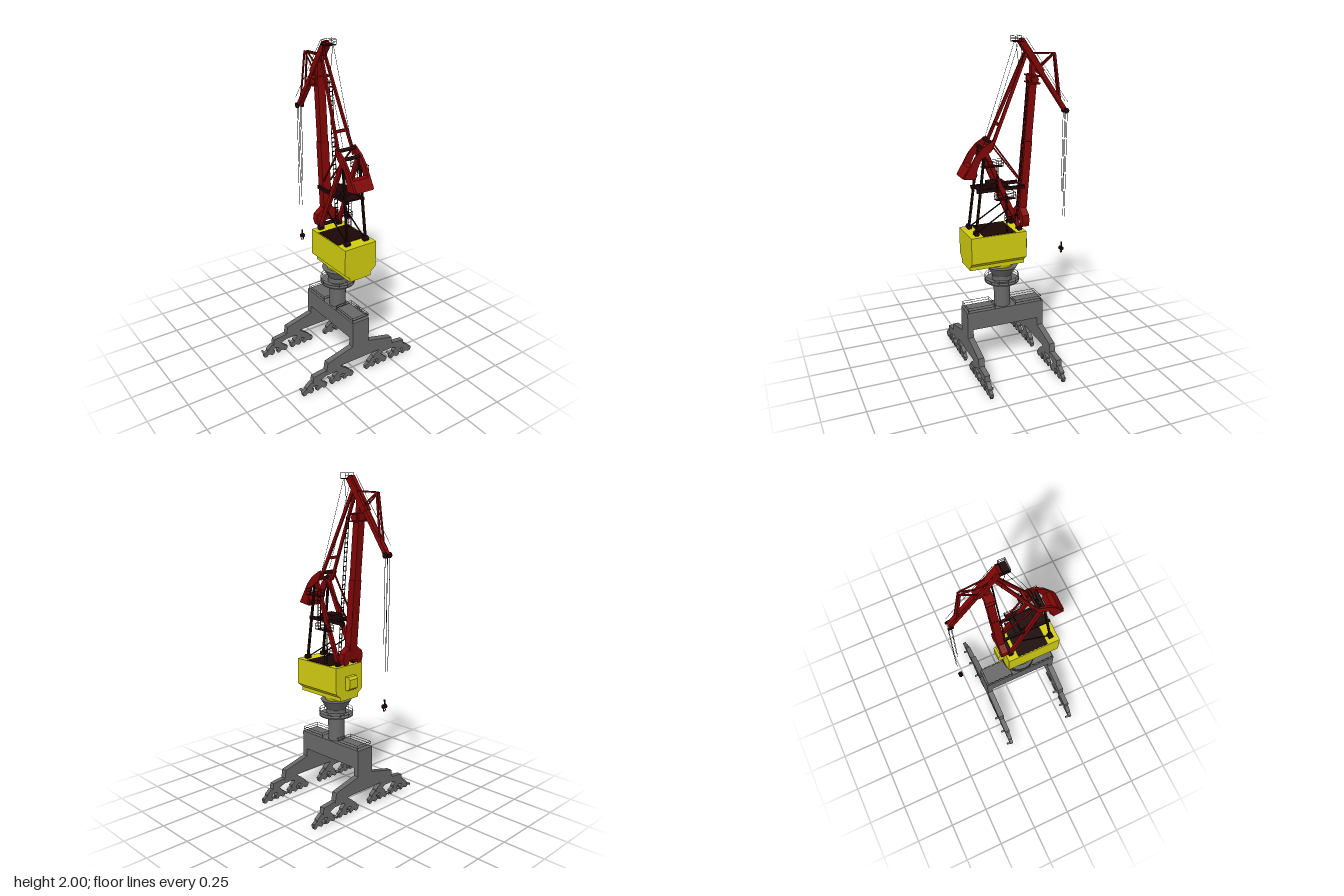
import * as THREE from 'three';

const mat = (color) => new THREE.MeshStandardMaterial({ color, side: THREE.DoubleSide, flatShading: true });
const grey = mat(0x686868), yellow = mat(0xd0cc10), red = mat(0x800606), dark = mat(0x1c0606);
const V = (x, y, z) => new THREE.Vector3(x, y, z);
const MID = 0.085; // z of the slewing axis

export function createModel() {
  const root = new THREE.Group();
  const add = (name, geo, m, x = 0, y = 0, z = 0) => {
    const mesh = new THREE.Mesh(geo, m);
    mesh.name = name;
    mesh.position.set(x, y, z);
    root.add(mesh);
    return mesh;
  };
  const box = (name, m, x0, x1, y0, y1, z0, z1) =>
    add(name, new THREE.BoxGeometry(x1 - x0, y1 - y0, z1 - z0), m, (x0 + x1) / 2, (y0 + y1) / 2, (z0 + z1) / 2);
  const cyl = (name, m, r0, r1, y0, y1, z, n = 24, x = 0) =>
    add(name, new THREE.CylinderGeometry(r1, r0, y1 - y0, n), m, x, (y0 + y1) / 2, z);
  // Axle-like cylinder along x or z
  const axle = (name, m, r, len, axis, x, y, z) => {
    const geo = new THREE.CylinderGeometry(r, r, len, 12);
    if (axis === 'x') geo.rotateZ(Math.PI / 2); else geo.rotateX(Math.PI / 2);
    return add(name, geo, m, x, y, z);
  };
  // Straight beam between two points, w wide across x and t thick
  const bar = (name, m, a, b, w, t = w) => {
    const mesh = new THREE.Mesh(new THREE.BoxGeometry(t, w, a.distanceTo(b)), m);
    mesh.name = name;
    mesh.position.copy(a).add(b).multiplyScalar(0.5);
    mesh.up.set(1, 0, 0);
    if (Math.abs(a.x - b.x) > 0.9 * a.distanceTo(b)) mesh.up.set(0, 1, 0);
    mesh.lookAt(b);
    root.add(mesh);
  };
  // Flat outline in x,y extruded along z
  const plate = (name, m, pts, z0, z1) => {
    const shape = new THREE.Shape(pts.map(([x, y]) => new THREE.Vector2(x, y)));
    return add(name, new THREE.ExtrudeGeometry(shape, { depth: z1 - z0, bevelEnabled: false }), m, 0, 0, z0);
  };
  // Mirrored outline: right half listed from top to bottom
  const mirrored = (half) => [...half, ...half.map(([x, y]) => [-x, y]).reverse()];
  // Rectangular guard rail
  const guard = (name, m, x0, x1, y, z0, z1, h = 0.035) => {
    const c = [[x0, z0], [x1, z0], [x1, z1], [x0, z1]];
    c.forEach(([x, z], i) => {
      const [nx, nz] = c[(i + 1) % 4];
      bar(name, m, V(x, y, z), V(x, y + h, z), 0.002);
      for (const k of [0.5, 1]) bar(name, m, V(x, y + h * k, z), V(nx, y + h * k, nz), 0.002);
    });
  };

  // Portal: two side frames on stacked balancers and bogies
  for (const z of [0.312, -0.147]) {
    plate('portalFrame', grey, mirrored([[0.06, 0.385], [0.06, 0.22], [0.24, 0.175], [0.25, 0.118], [0.17, 0.118], [0.12, 0.12]]),
      z - 0.018, z + 0.018);
    for (const s of [-1, 1]) {
      const P = (pts) => pts.map(([x, y]) => [s * x, y]);
      plate('mainBalancer', grey, P([[0.16, 0.125], [0.25, 0.125], [0.34, 0.115], [0.345, 0.075], [0.29, 0.075],
        [0.25, 0.09], [0.18, 0.09], [0.155, 0.07], [0.1, 0.07], [0.11, 0.09]]), z - 0.016, z + 0.016);
      for (const c of [0.13, 0.328]) {
        plate('smallBalancer', grey, P([[c - 0.03, 0.08], [c + 0.03, 0.08], [c + 0.06, 0.055], [c + 0.06, 0.038],
          [c + 0.03, 0.038], [c, 0.052], [c - 0.03, 0.038], [c - 0.06, 0.038], [c - 0.06, 0.055]]), z - 0.013, z + 0.013);
      }
      for (const c of [0.085, 0.175, 0.28, 0.375]) {
        plate('bogie', grey, P([[c - 0.015, 0.045], [c + 0.015, 0.045], [c + 0.04, 0.03], [c + 0.036, 0.014],
          [c - 0.036, 0.014], [c - 0.04, 0.03]]), z - 0.011, z + 0.011);
        for (const d of [-0.023, 0.023]) axle('wheel', grey, 0.017, 0.014, 'z', s * c + d, 0.017, z);
        if (c > 0.1) axle('driveMotor', grey, 0.007, 0.03, 'z', s * c - 0.03, 0.03, z - 0.018);
      }
      box('railBuffer', grey, s * 0.405 - 0.006, s * 0.405 + 0.006, 0.018, 0.034, z - 0.008, z + 0.008);
    }
  }
  box('portalBeam', grey, -0.06, 0.06, 0.27, 0.385, -0.163, 0.33);
  for (const [a, b] of [[-0.155, 0.02], [0.15, 0.322]]) guard('portalRail', grey, -0.057, 0.057, 0.385, a, b, 0.03);

  // Column with walkway ring and slewing cone
  cyl('column', grey, 0.05, 0.05, 0.385, 0.65, MID);
  cyl('walkway', grey, 0.105, 0.105, 0.543, 0.55, MID, 32);
  cyl('columnCollar', grey, 0.06, 0.06, 0.55, 0.585, MID);
  cyl('slewingCone', grey, 0.055, 0.096, 0.58, 0.645, MID);
  cyl('slewingNeck', yellow, 0.065, 0.075, 0.645, 0.667, MID);
  for (const y of [0.565, 0.582]) {
    const ring = add('walkwayRail', new THREE.TorusGeometry(0.104, 0.0015, 4, 32), grey, 0, y, MID);
    ring.rotation.x = Math.PI / 2;
  }
  for (let i = 0; i < 12; i++) {
    const a = (i * Math.PI) / 6;
    cyl('walkwayPost', grey, 0.0015, 0.0015, 0.545, 0.582, MID + 0.104 * Math.sin(a), 4, 0.104 * Math.cos(a));
  }

  // Machinery house and operator cab
  plate('machineryHouse', yellow, mirrored([[0.11, 0.88], [0.11, 0.718], [0.075, 0.69], [0.075, 0.667]]), -0.03, 0.313);
  const cabShape = new THREE.Shape([[0.02, 0.815], [-0.055, 0.815], [-0.068, 0.8], [-0.068, 0.745], [-0.05, 0.73], [0.02, 0.73]]
    .map(([z, y]) => new THREE.Vector2(-z, y)));
  const cab = add('operatorCab', new THREE.ExtrudeGeometry(cabShape, { depth: 0.07, bevelEnabled: false }), yellow, -0.035, 0, 0);
  cab.rotation.y = Math.PI / 2;
  box('roofPlate', dark, -0.105, 0.103, 0.879, 0.882, 0.035, 0.235);

  // Jib with flared foot and head platform
  plate('jibFoot', red, mirrored([[0.03, 1.0], [0.075, 0.965], [0.08, 0.93], [0.07, 0.895], [0.04, 0.895], [0.03, 0.92]]), -0.062, -0.02);
  const jib = (a, b, w, t) => bar('jib', red, a, b, w, t);
  jib(V(0, 0.93, -0.038), V(0, 1.4, -0.076), 0.056, 0.046);
  jib(V(0, 1.4, -0.076), V(0, 1.78, -0.108), 0.048, 0.044);
  jib(V(0, 1.77, -0.107), V(0, 1.87, -0.113), 0.036, 0.026);
  for (const y of [1.735, 1.775]) box('jibHeadPlatform', red, -0.06, 0.06, y - 0.004, y + 0.004, -0.133, -0.083);
  for (const s of [-1, 1]) axle('jibHeadSheave', red, 0.022, 0.01, 'x', s * 0.04, 1.755, -0.108);

  // Jib ladder
  for (const x of [0.036, 0.056]) bar('jibLadder', dark, V(x, 0.9, 0.01), V(x, 1.76, -0.062), 0.003);
  for (let i = 0; i < 32; i++) {
    const t = (i + 0.5) / 32;
    bar('jibLadderStep', dark, V(0.034, 0.9 + 0.86 * t, 0.01 - 0.072 * t), V(0.058, 0.9 + 0.86 * t, 0.01 - 0.072 * t), 0.005);
  }

  // Fly jib, its bracing and tip
  const top = V(0, 1.975, -0.035), tip = V(0, 1.56, -0.32);
  bar('flyJib', red, top, V(0, 1.79, -0.162), 0.045, 0.034);
  bar('flyJib', red, V(0, 1.79, -0.162), tip, 0.032, 0.024);
  for (const s of [-1, 1]) {
    bar('flyJibBrace', red, V(s * 0.018, 1.9, -0.065), V(s * 0.008, 1.895, -0.245), 0.006, 0.008);
    bar('flyJibBrace', red, V(s * 0.008, 1.895, -0.245), V(s * 0.014, 1.63, -0.28), 0.006, 0.012);
    bar('flyJibBrace', red, V(s * 0.008, 1.895, -0.245), V(s * 0.016, 1.81, -0.14), 0.006, 0.008);
    axle('tipSheave', dark, 0.017, 0.008, 'x', s * 0.018, 1.56, -0.322);
    bar('flyJibHandrail', dark, V(s * 0.02, 1.99, -0.06), V(s * 0.02, 1.61, -0.33), 0.0015);
    // Tail stay from rocker to fly jib
    bar('tailStay', red, V(s * 0.05, 1.38, 0.165), V(s * 0.012, 1.9, -0.065), 0.012, 0.018);
    bar('tailStayHandrail', dark, V(s * 0.03, 1.44, 0.17), V(s * 0.03, 1.96, -0.01), 0.0015);
  }
  box('tailTie', red, -0.04, 0.04, 1.505, 1.52, 0.1, 0.115);
  guard('topRail', dark, -0.033, 0.033, 1.968, -0.03, 0.01, 0.03);
  for (const x of [-0.033, 0.033]) bar('topLadder', dark, V(x, 1.83, -0.04), V(x, 1.97, -0.02), 0.002);
  box('topPlatform', dark, -0.033, 0.033, 1.965, 1.97, -0.045, 0.01);

  // Supporting frame on the house roof and counterweight rocker
  const rocker = new THREE.Shape([[0.155, 1.435], [0.22, 1.395], [0.265, 1.345], [0.335, 1.225], [0.265, 1.215], [0.255, 1.27],
    [0.23, 1.33], [0.17, 1.37], [0.145, 1.42]].map(([z, y]) => new THREE.Vector2(-z, y)));
  for (const s of [-1, 1]) {
    bar('frontStrut', red, V(s * 0.065, 0.895, 0), V(s * 0.05, 1.38, 0.205), 0.018, 0.025);
    bar('rearStrut', dark, V(s * 0.065, 0.89, 0.268), V(s * 0.055, 1.38, 0.205), 0.012, 0.013);
    bar('frameDiagonal', dark, V(s * 0.062, 0.895, 0.26), V(s * 0.06, 1.02, 0.06), 0.006);
    bar('rockerRod', red, V(s * 0.05, 1.425, 0.16), V(s * 0.025, 1.17, -0.03), 0.008);
    bar('platformBeam', dark, V(s * 0.055, 1.14, 0.255), V(s * 0.055, 1.14, -0.04), 0.014, 0.02);
    for (const z of [0, 0.268]) axle('strutFoot', dark, 0.016, 0.03, 'x', s * 0.065, 0.893, z);
    const arm = add('rockerArm', new THREE.ExtrudeGeometry(rocker, { depth: 0.014, bevelEnabled: false }), red, s * 0.06 - 0.007, 0, 0);
    arm.rotation.y = Math.PI / 2;
  }
  box('drivePlatform', dark, -0.06, 0.06, 1.135, 1.142, 0.04, 0.24);
  box('luffingDrive', dark, -0.045, 0.045, 1.142, 1.175, 0.07, 0.17);
  for (const [y, z] of [[1.38, 0.205], [1.42, 0.165], [0.91, 0]]) axle('crossShaft', dark, 0.011, 0.13, 'x', 0, y, z);
  const weight = new THREE.Shape([[0.27, 1.29], [0.3, 1.285], [0.34, 1.225], [0.265, 1.21], [0.25, 1.24]]
    .map(([z, y]) => new THREE.Vector2(-z, y)));
  const cw = add('counterweight', new THREE.ExtrudeGeometry(weight, { depth: 0.11, bevelEnabled: false }), red, -0.055, 0, 0);
  cw.rotation.y = Math.PI / 2;

  // Access landings and ladder on the left side
  for (const [y, z0, z1] of [[1.09, 0.035, 0.155], [1.29, 0.11, 0.235], [0.95, 0.035, 0.09]]) {
    box('landing', dark, 0.065, 0.103, y - 0.003, y, z0, z1);
    guard('landingRail', dark, 0.065, 0.103, y, z0, z1);
  }
  for (const x of [0.075, 0.095]) {
    bar('accessLadder', dark, V(x, 0.88, 0.085), V(x, 1.12, 0.085), 0.003);
    bar('accessLadder', dark, V(x, 1.09, 0.14), V(x, 1.32, 0.14), 0.003);
  }
  for (let y = 0.9; y < 1.3; y += 0.02) {
    const z = y < 1.09 ? 0.085 : 0.14;
    bar('accessRung', dark, V(0.075, y, z), V(0.095, y, z), 0.002);
  }

  // Hoist ropes and hook
  for (const s of [-1, 1]) {
    bar('hoistRope', dark, V(s * 0.01, 1.55, -0.332), V(s * 0.01, 0.9, -0.328), 0.002);
    bar('hoistRope', dark, V(s * 0.01, 1.55, -0.315), V(s * 0.01, 1.06, -0.313), 0.002);
  }
  axle('hookBlock', dark, 0.013, 0.024, 'x', 0, 0.69, -0.315);
  cyl('hookSwivel', dark, 0.004, 0.006, 0.7, 0.73, -0.317, 8);
  const hook = add('hook', new THREE.TorusGeometry(0.009, 0.003, 6, 12, Math.PI * 1.5), dark, 0, 0.67, -0.315);
  hook.rotation.z = -Math.PI;
  return root;
}
